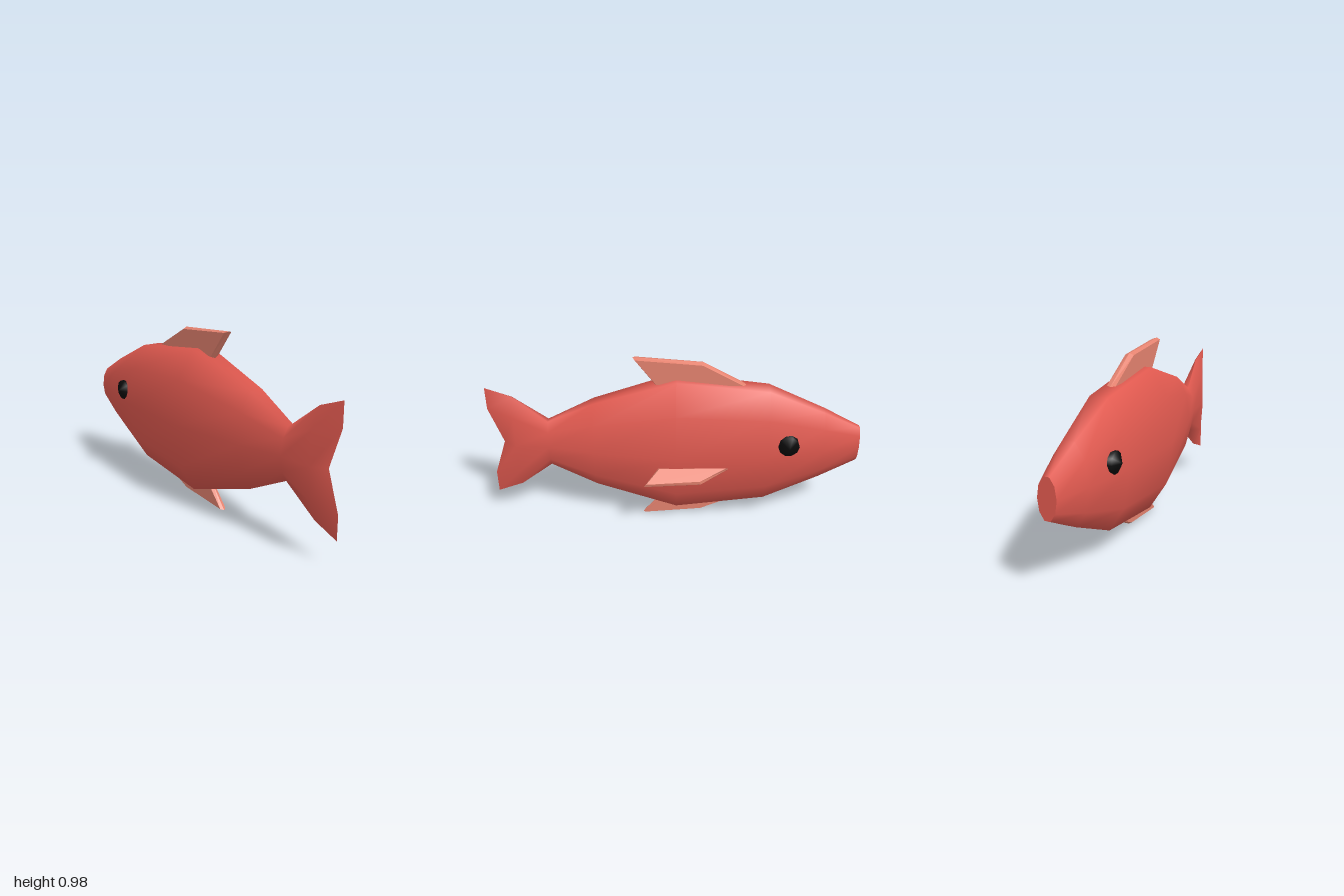
import * as THREE from 'three';

const MID_Y = 0.474, MID_Z = 0.031, SIDES = 10;
const bodyMat = new THREE.MeshStandardMaterial({ color: 0xe0594f });
const finMat = new THREE.MeshStandardMaterial({ color: 0xe58370 });
const eyeMat = new THREE.MeshStandardMaterial({ color: 0x0a0a0a });

// Ten-sided rings from nose to tail: x, half height, half width, ridge pinch, notch depth
const RINGS = [
  [-1, 0.106, 0.048, 1, 0],
  [-0.8, 0.213, 0.1, 1, 0],
  [-0.5, 0.353, 0.158, 1, 0],
  [-0.01, 0.413, 0.187, 1, 0],
  [0.43, 0.268, 0.121, 1, 0],
  [0.68, 0.142, 0.061, 1, 0],
  [0.86, 0.292, 0.055, 0.15, 0],
  [1, 0.347, 0, 1, 0.07],
];

function ringPoint([x, ry, rz, pinch, notch], j) {
  const a = ((j + 0.5) / SIDES) * Math.PI * 2;
  const c = Math.cos(a), s = Math.sin(a);
  const ridge = Math.abs(c) > 0.9, side = Math.abs(c) < 0.1;
  return [x - (side ? notch : 0), MID_Y + ry * c, MID_Z + rz * s * (ridge ? pinch : 1)];
}

function meshFrom(name, points, index) {
  const geo = new THREE.BufferGeometry();
  geo.setAttribute('position', new THREE.Float32BufferAttribute(points.flat(), 3));
  geo.setIndex(index);
  geo.computeVertexNormals();
  const mesh = new THREE.Mesh(geo, bodyMat);
  mesh.name = name;
  return mesh;
}

// Body skin, running smoothly into the forked tail
function makeBody() {
  const points = [], index = [];
  RINGS.forEach((ring, i) => {
    for (let j = 0; j < SIDES; j++) {
      points.push(ringPoint(ring, j));
      if (i === RINGS.length - 1) continue;
      const k = (j + 1) % SIDES;
      const a = i * SIDES + j, b = i * SIDES + k;
      index.push(a, b, a + SIDES, b, b + SIDES, a + SIDES);
    }
  });
  return meshFrom('bodyAndTail', points, index);
}

// Flat blunt end of the nose
function makeNose() {
  const points = [[-1, MID_Y, MID_Z]], index = [];
  for (let j = 0; j < SIDES; j++) {
    points.push(ringPoint(RINGS[0], j));
    index.push(0, 1 + ((j + 1) % SIDES), 1 + j);
  }
  return meshFrom('nose', points, index);
}

// Thin fin with an outer edge bevelled to a ridge
function makeFin(name, outline, thickness) {
  const shape = new THREE.Shape(outline.map(([x, y]) => new THREE.Vector2(x, y)));
  const geo = new THREE.ExtrudeGeometry(shape, {
    depth: 0.001, bevelEnabled: true, bevelSegments: 1,
    bevelThickness: thickness / 2, bevelSize: 0.01, bevelOffset: -0.01,
  });
  const fin = new THREE.Mesh(geo, finMat);
  fin.name = name;
  return fin;
}

export function createModel() {
  const fish = new THREE.Group();
  fish.name = 'fish';
  fish.add(makeBody(), makeNose());

  const dorsal = makeFin('dorsalFin', [[-0.375, 0.83], [0.1, 0.83], [0.215, 0.986], [-0.15, 0.96]], 0.046);
  dorsal.position.z = 0.029;

  const belly = makeFin('bellyFin', [[-0.32, 0.11], [-0.15, 0.028], [0.178, 0.003], [0.09, 0.11]], 0.034);
  belly.position.z = 0.024;

  // Single side fin, slanting outward and down
  const side = makeFin('sideFin', [[-0.29, 0], [0.085, 0], [0.16, 0.105], [-0.14, 0.09]], 0.034);
  side.position.set(0, 0.408, -0.133);
  side.rotation.x = -Math.PI / 2 - 0.6;
  fish.add(dorsal, belly, side);

  // Faceted eyes with their poles facing sideways
  for (const s of [1, -1]) {
    const eye = new THREE.Mesh(new THREE.SphereGeometry(0.06, 10, 3).rotateX(Math.PI / 2), eyeMat);
    eye.name = s > 0 ? 'frontEye' : 'backEye';
    eye.scale.set(1.08, 1.08, 1);
    eye.position.set(-0.605, 0.535, 0.028 + s * 0.113);
    fish.add(eye);
  }
  return fish;
}
